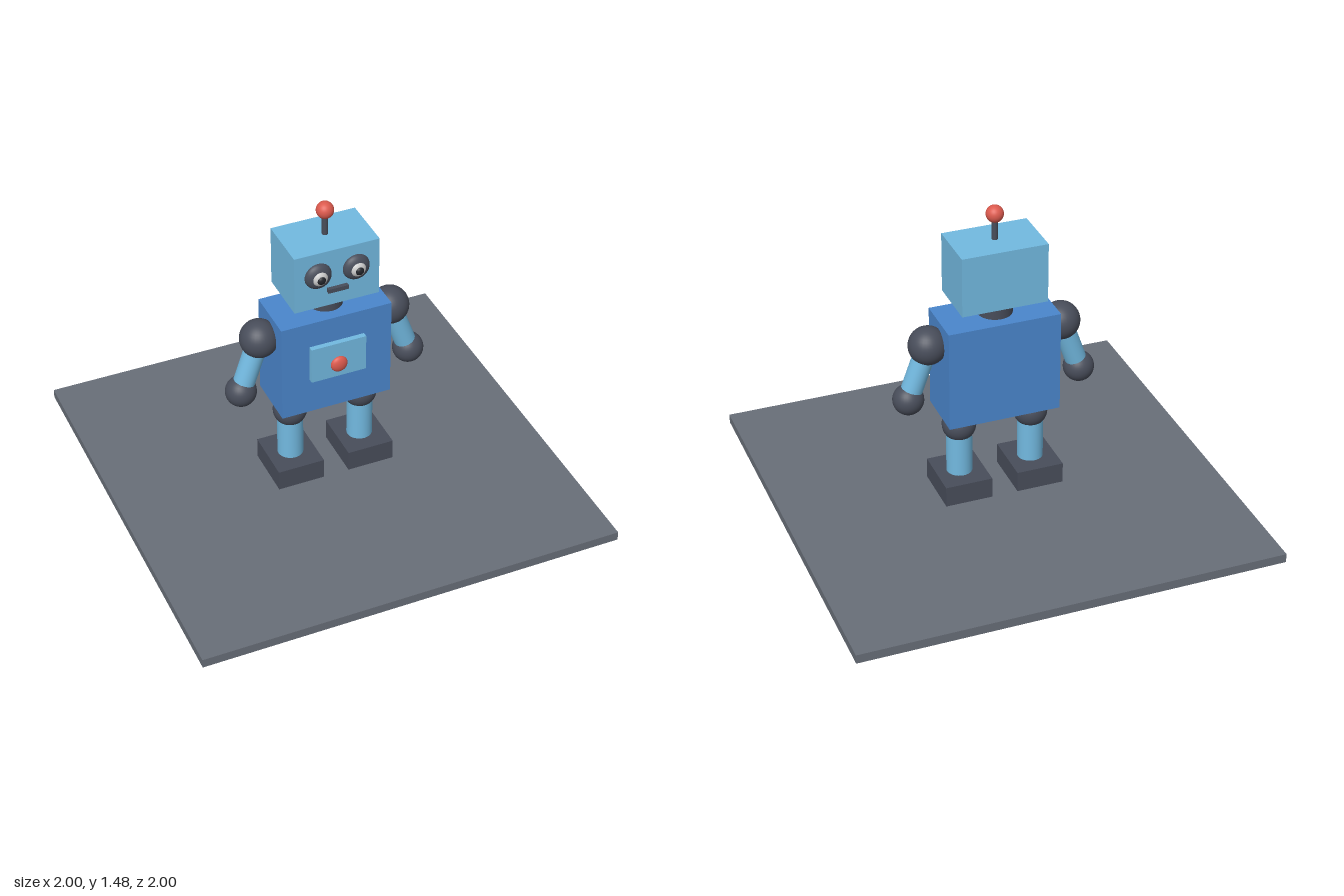
import * as THREE from 'three';

const material = (color) => new THREE.MeshStandardMaterial({ color });

export function createModel() {
  const group = new THREE.Group();
  const light = material(0x72b9e0), blue = material(0x4a86cc), dark = material(0x484d5a);
  const red = material(0xdc5a4e), slab = material(0x686e78), white = material(0xe6e6e6), black = material(0x22252b);

  const add = (name, geometry, mat, x, y, z) => {
    const mesh = new THREE.Mesh(geometry, mat);
    mesh.name = name;
    mesh.position.set(x, y, z);
    group.add(mesh);
    return mesh;
  };
  const box = (name, mat, w, h, d, x, y, z) => add(name, new THREE.BoxGeometry(w, h, d), mat, x, y, z);
  const ball = (name, mat, r, x, y, z, flat = 1) => {
    const mesh = add(name, new THREE.SphereGeometry(r, 32, 20), mat, x, y, z);
    mesh.scale.z = flat;
    return mesh;
  };
  // Cylinder running between two points
  const rod = (name, mat, r, a, b) => {
    const from = new THREE.Vector3(...a), dir = new THREE.Vector3(...b).sub(from);
    const mesh = add(name, new THREE.CylinderGeometry(r, r, dir.length(), 32), mat, 0, 0, 0);
    mesh.position.copy(from).addScaledVector(dir, 0.5);
    mesh.quaternion.setFromUnitVectors(new THREE.Vector3(0, 1, 0), dir.normalize());
    return mesh;
  };

  // Ground slab
  box('base', slab, 2, 0.043, 2, 0, 0.0215, 0);

  // Torso with chest panel and button
  box('torso', blue, 0.53, 0.488, 0.262, 0, 0.709, 0);
  box('chestPanel', light, 0.264, 0.18, 0.05, 0, 0.736, 0.131);
  ball('chestButton', red, 0.04, 0, 0.714, 0.157, 0.55);

  // Neck, head, mouth and antenna
  rod('neck', dark, 0.08, [0, 0.95, 0], [0, 1.035, 0]);
  box('head', light, 0.402, 0.285, 0.262, 0, 1.173, 0);
  box('mouth', dark, 0.096, 0.02, 0.04, 0, 1.115, 0.13);
  rod('antenna', dark, 0.014, [0, 1.31, 0], [0, 1.42, 0]);
  ball('antennaTip', red, 0.04, 0, 1.438, 0);

  for (const side of [1, -1]) {
    const label = side > 0 ? 'left' : 'right';
    // Eye built from nested balls
    ball(label + 'EyeSocket', dark, 0.063, side * 0.09, 1.2, 0.131, 0.55);
    ball(label + 'EyeWhite', white, 0.038, side * 0.09, 1.2, 0.148, 0.75);
    ball(label + 'Pupil', black, 0.02, side * 0.09, 1.2, 0.169, 0.75);
    // Arm
    ball(label + 'Shoulder', dark, 0.089, side * 0.318, 0.843, 0);
    rod(label + 'Arm', light, 0.05, [side * 0.318, 0.843, 0], [side * 0.412, 0.58, 0.005]);
    ball(label + 'Hand', dark, 0.072, side * 0.412, 0.58, 0.005);
    // Leg
    ball(label + 'Hip', dark, 0.079, side * 0.174, 0.4, 0);
    rod(label + 'Leg', light, 0.06, [side * 0.174, 0.15, 0], [side * 0.174, 0.35, 0]);
    box(label + 'Foot', dark, 0.224, 0.1, 0.262, side * 0.174, 0.105, 0);
  }
  return group;
}
